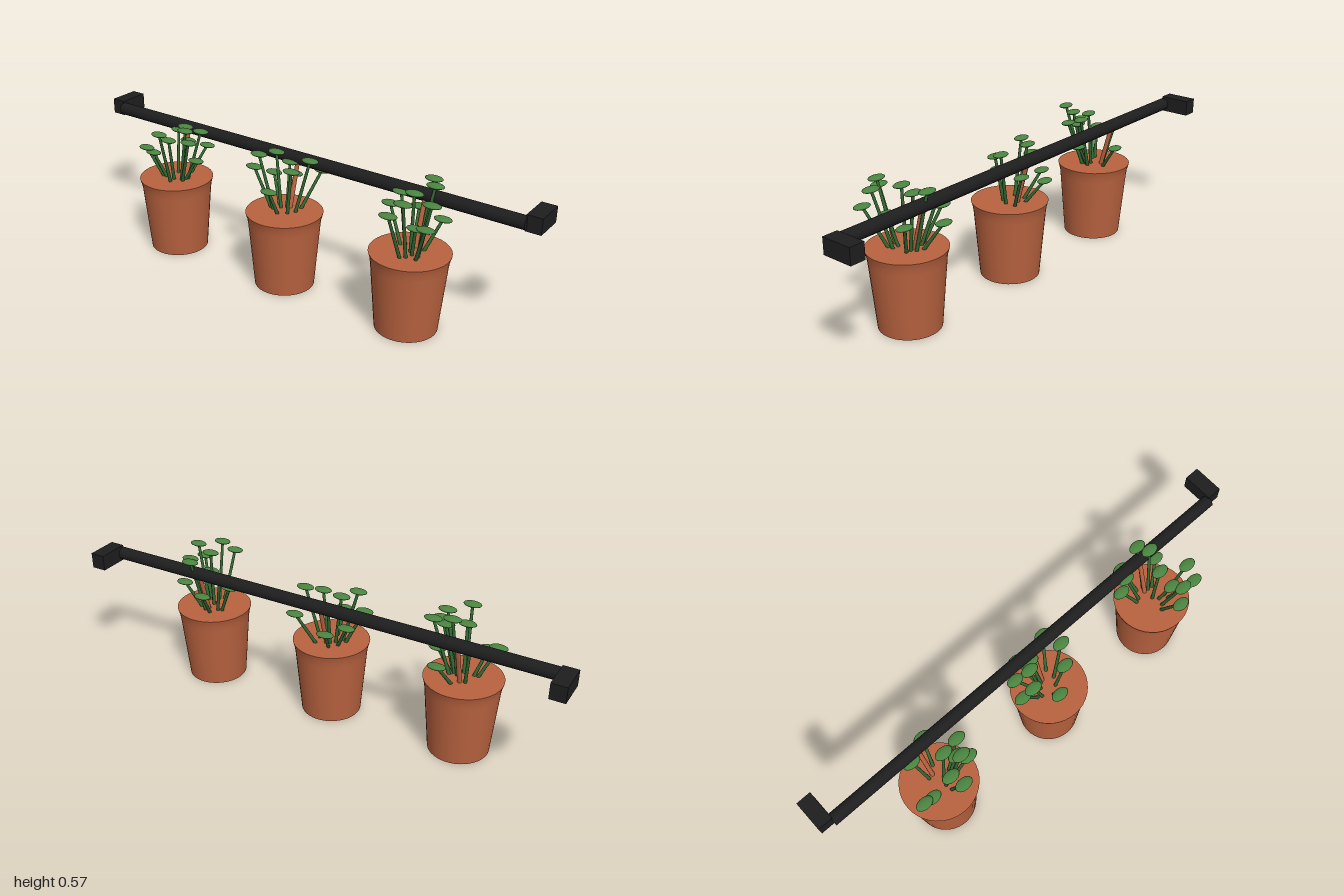
import * as THREE from 'three';

const mat = (name, color) => new THREE.MeshStandardMaterial({ name, color });

export function createModel() {
  const terracotta = mat('terracotta', 0xb8623f);
  const leafGreen = mat('leaf green', 0x4a8440);
  const stemGreen = mat('stem green', 0x336631);
  const black = mat('black metal', 0x1e1e1e);

  const root = new THREE.Group();
  root.name = 'hangingPlanters';
  const add = (parent, geo, m, name) => {
    const mesh = new THREE.Mesh(geo, m);
    mesh.name = name;
    parent.add(mesh);
    return mesh;
  };
  // Cylinder stretched between two points
  const rod = (parent, a, b, rTop, rBottom, m, name) => {
    const d = b.clone().sub(a);
    const mesh = add(parent, new THREE.CylinderGeometry(rTop, rBottom, d.length(), 10), m, name);
    mesh.position.copy(a).addScaledVector(d, 0.5);
    mesh.quaternion.setFromUnitVectors(new THREE.Vector3(0, 1, 0), d.normalize());
  };
  const V = (x, y, z) => new THREE.Vector3(x, y, z);

  // Wall rail and its two end brackets
  rod(root, V(-0.945, 0.5, -0.075), V(0.945, 0.5, -0.075), 0.026, 0.026, black, 'rail');
  for (const s of [-1, 1]) {
    add(root, new THREE.BoxGeometry(0.06, 0.063, 0.125), black, s > 0 ? 'leftBracket' : 'rightBracket')
      .position.set(s * 0.97, 0.502, -0.1325);
  }

  // Pot: tapered wall with a flared rim
  const cz = 0.024;
  const wall = new THREE.LatheGeometry([
    [0.119, 0], [0.132, 0.15], [0.142, 0.265], [0.145, 0.288], [0.149, 0.302], [0.152, 0.313],
  ].map(([r, y]) => new THREE.Vector2(r, y)), 40);
  const top = new THREE.CircleGeometry(0.152, 40).rotateX(-Math.PI / 2).translate(0, 0.313, 0);
  const base = new THREE.CircleGeometry(0.119, 40).rotateX(Math.PI / 2);
  const head = new THREE.SphereGeometry(1, 18, 10).scale(0.036, 0.009, 0.023);

  // Head positions for each plant
  const plants = [
    { name: 'rightPlanter', x: -0.56, heads: [
      [-0.508, 0.418, -0.118], [-0.663, 0.437, 0.084], [-0.626, 0.424, 0.084], [-0.535, 0.499, 0.088],
      [-0.462, 0.55, 0.066], [-0.433, 0.535, 0.005], [-0.524, 0.547, 0.152], [-0.604, 0.487, -0.05],
      [-0.44, 0.506, 0.075], [-0.503, 0.544, 0.017], [-0.45, 0.408, 0.023], [-0.468, 0.501, 0.043]] },
    { name: 'middlePlanter', x: 0, heads: [
      [-0.048, 0.411, -0.111], [0.086, 0.462, -0.106], [-0.139, 0.468, 0.033], [-0.102, 0.535, 0.05],
      [-0.064, 0.533, -0.012], [-0.016, 0.417, 0.103], [0.053, 0.501, 0.053], [0.094, 0.533, -0.012],
      [-0.105, 0.424, -0.05], [-0.027, 0.487, -0.05]] },
    { name: 'leftPlanter', x: 0.56, heads: [
      [0.572, 0.557, -0.1], [0.6, 0.55, -0.06], [0.642, 0.433, -0.055], [0.513, 0.426, -0.115],
      [0.436, 0.448, -0.034], [0.545, 0.507, 0.17], [0.583, 0.55, 0.138], [0.604, 0.437, 0.075],
      [0.668, 0.472, 0.125], [0.663, 0.545, 0.08], [0.567, 0.546, 0.03], [0.47, 0.497, -0.05]] },
  ];

  for (const { name, x, heads } of plants) {
    const g = new THREE.Group();
    g.name = name;
    g.position.set(x, 0, cz);
    root.add(g);
    add(g, wall, terracotta, 'potWall');
    add(g, top, terracotta, 'potTop');
    add(g, base, terracotta, 'potBase');
    // Hanger from the pot up to the rail
    rod(g, V(0, 0.3, -0.035), V(0, 0.5, -0.09), 0.009, 0.009, terracotta, 'hanger');
    // Stems lean outwards from the pot centre to their flat heads
    for (const [hx, hy, hz] of heads) {
      const tip = V(hx - x, hy, hz - cz);
      rod(g, V(tip.x * 0.42, 0.305, tip.z * 0.42), tip, 0.0055, 0.007, stemGreen, 'stem');
      add(g, head, leafGreen, 'leafHead').position.copy(tip);
    }
  }
  return root;
}
